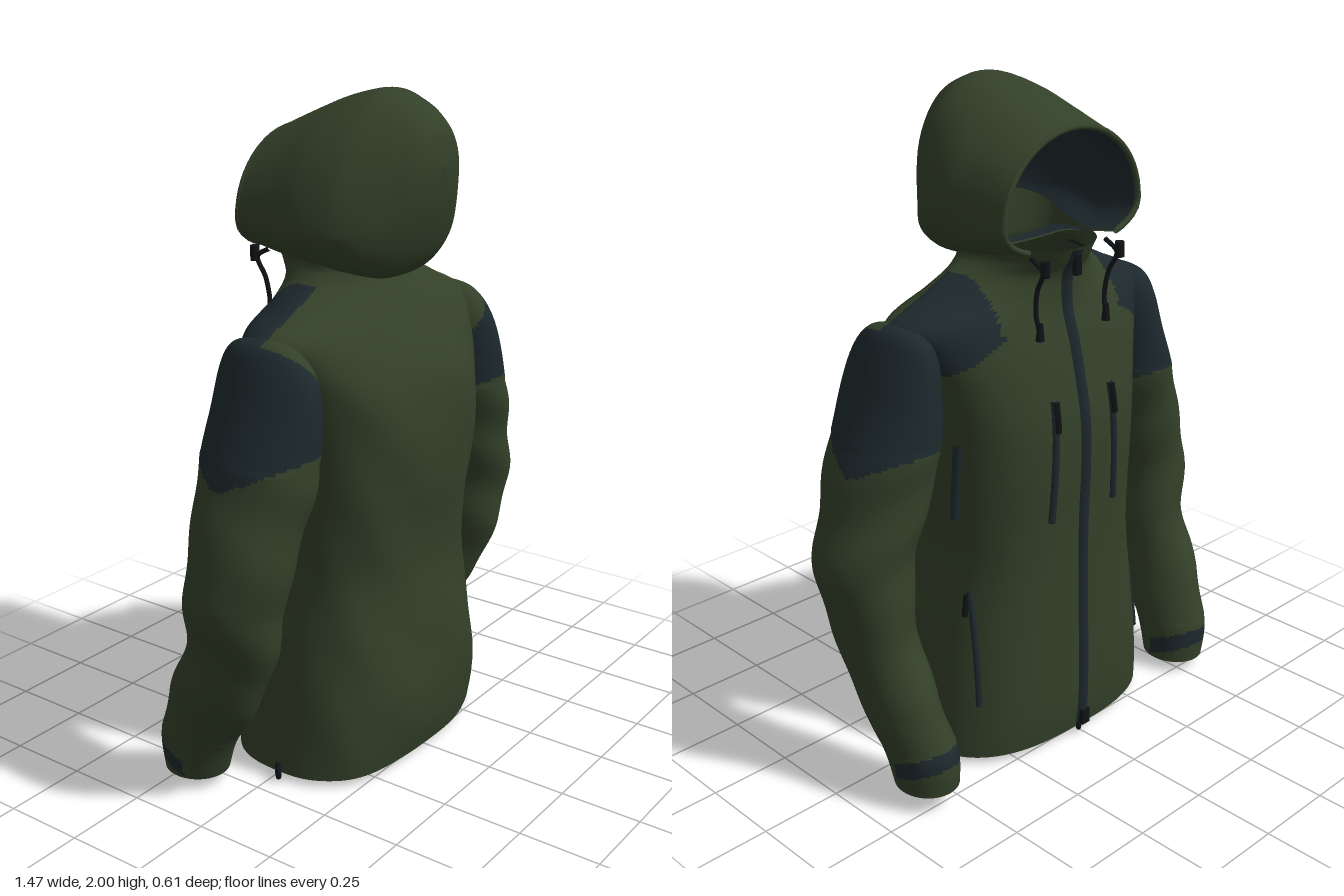
import * as THREE from 'three';

const mat = (name, color, side = THREE.FrontSide) => {
  const m = new THREE.MeshStandardMaterial({ color, side });
  m.name = name;
  return m;
};

// Smooth interpolation through rows of numbers, t in 0..1
function track(rows) {
  const n = rows.length - 1;
  return t => {
    const q = Math.min(Math.max(t, 0), 1) * n, i = Math.min(Math.floor(q), n - 1), f = q - i;
    const [a, b, c, d] = [-1, 0, 1, 2].map(k => rows[Math.min(Math.max(i + k, 0), n)]);
    return b.map((_, k) => b[k] + 0.5 * f * (c[k] - a[k] + f * (2 * a[k] - 5 * b[k] + 4 * c[k] - d[k]
      + f * (3 * (b[k] - c[k]) + d[k] - a[k]))));
  };
}

// Grid surface from f(u, v); pick(point) gives the material index of each face
function sheet(f, nu, nv, closed, pick = () => 0, count = 1) {
  const pos = [], lists = Array.from({ length: count }, () => []);
  const cols = closed ? nu : nu + 1;
  for (let j = 0; j <= nv; j++)
    for (let i = 0; i < cols; i++) pos.push(...f(i / nu, j / nv));
  for (let j = 0; j < nv; j++)
    for (let i = 0; i < nu; i++) {
      const k = (i + 1) % cols, a = j * cols + i, b = j * cols + k, c = b + cols, d = a + cols;
      lists[pick(...f((i + 0.5) / nu, (j + 0.5) / nv))].push(a, b, c, a, c, d);
    }
  const g = new THREE.BufferGeometry();
  g.setAttribute('position', new THREE.Float32BufferAttribute(pos, 3));
  g.setIndex(lists.flat());
  let start = 0;
  lists.forEach((l, i) => { g.addGroup(start, l.length, i); start += l.length; });
  g.computeVertexNormals();
  return g;
}

// Body sections: y, half width, front z, back z, squareness
const bodyAt = track([
  [0.022, 0.42, -0.275, 0.28, 2.7], [0.12, 0.41, -0.285, 0.30, 2.7], [0.25, 0.395, -0.285, 0.31, 2.7],
  [0.42, 0.37, -0.28, 0.295, 2.7], [0.6, 0.345, -0.275, 0.275, 2.7], [0.75, 0.345, -0.275, 0.285, 2.7],
  [0.9, 0.35, -0.28, 0.305, 2.7], [1.05, 0.36, -0.275, 0.312, 2.7], [1.18, 0.39, -0.25, 0.295, 2.6],
  [1.28, 0.435, -0.225, 0.255, 2.3], [1.36, 0.47, -0.2, 0.21, 1.9], [1.42, 0.355, -0.195, 0.175, 1.65],
  [1.47, 0.255, -0.2, 0.14, 1.7], [1.51, 0.205, -0.22, 0.12, 2], [1.55, 0.195, -0.24, 0.11, 2.2],
]);
const MID = 0.02;
function body(u, v) {
  const [y, w, front, back, pow] = bodyAt(v), a = u * Math.PI * 2, c = Math.cos(a), s = -Math.sin(a);
  const r = k => Math.sign(k) * Math.abs(k) ** (2 / pow);
  // soft cloth folds on the back, collar raised at the nape
  const fold = 1 + (s > 0 && y < 1.4 ? 0.02 * s : 0) * Math.sin(a * 5 + y * 7) * Math.sin(y * 9 + a * 2);
  const nape = 0.08 * Math.max(0, s + 0.3) * Math.max(0, (y - 1.51) / 0.04);
  return [w * r(c) * fold, y + nape, MID + r(s) * (s > 0 ? back - MID : MID - front) * fold];
}
// Point on the front of the body at a given x and y
function onFront(x, y, out) {
  let lo = 0, hi = 1;
  for (let i = 0; i < 30; i++) { const m = (lo + hi) / 2; if (bodyAt(m)[0] < y) lo = m; else hi = m; }
  const [, w, front, , pow] = bodyAt(lo);
  const k = Math.max(0, 1 - (Math.abs(x) / w) ** pow) ** (1 / pow);
  return new THREE.Vector3(x, y, MID - (MID - front) * k - out);
}

// Sleeve sections: y, centre x, centre z, x radius, z radius
const sleeveAt = track([
  [1.372, 0.455, 0.02, 0.005, 0.01], [1.35, 0.452, 0.02, 0.05, 0.1], [1.28, 0.45, 0.03, 0.085, 0.155],
  [1.15, 0.468, 0.035, 0.115, 0.178], [1.0, 0.503, 0.03, 0.14, 0.182], [0.85, 0.548, 0.03, 0.143, 0.165],
  [0.68, 0.595, 0.02, 0.137, 0.152], [0.5, 0.588, -0.005, 0.11, 0.145], [0.32, 0.583, -0.085, 0.1, 0.15],
  [0.17, 0.57, -0.17, 0.098, 0.125], [0.06, 0.565, -0.195, 0.092, 0.1],
]);
function sleeve(u, v, side) {
  const [y, cx, cz, rx, rz] = sleeveAt(v), a = u * Math.PI * 2 * side;
  const k = y < 1.05 && y > 0.18 ? 1 : 0.2;
  const fold = 1 + 0.03 * k * Math.sin(y * 26 + 2 * Math.sin(a + side));
  // the right cuff hangs a little lower and closer
  const low = side < 0 ? Math.max(0, 0.4 - y) * 0.07 : 0;
  return [side * (cx - low + rx * Math.cos(a) * fold), y - low, cz + rz * Math.sin(a) * fold];
}

// Hood slices from opening to back: z, half width, top y, middle y, bottom y, bottom gap angle
const hoodAt = track([
  [-0.22, 0.275, 1.885, 1.64, 1.54, 0.62], [-0.1, 0.285, 1.94, 1.63, 1.515, 0.62], [0, 0.295, 1.98, 1.63, 1.5, 0.55],
  [0.1, 0.275, 2.0, 1.63, 1.485, 0], [0.17, 0.235, 1.98, 1.63, 1.485, 0], [0.23, 0.175, 1.95, 1.68, 1.55, 0],
  [0.28, 0.1, 1.9, 1.78, 1.68, 0], [0.303, 0, 1.8, 1.8, 1.8, 0],
]);
function hood(u, v, inset = 0) {
  const [z, w, top, mid, low, gap] = hoodAt(v);
  const open = Math.max(0, gap), a = -Math.PI / 2 + open + u * 2 * (Math.PI - open);
  const s = Math.sin(a), c = Math.cos(a), r = 1 - inset / Math.max(w, 0.05);
  const x = s > 0 ? c : Math.sign(c) * Math.abs(c) ** 0.8;
  const fold = 1 + 0.014 * Math.sin(z * 22 + a * 6) * Math.sin(Math.PI * v);
  // the crown leans slightly to the left
  return [w * r * x * fold + 0.03 * Math.max(0, s) * Math.sin(Math.PI * v),
    mid + (s > 0 ? top - mid : mid - low) * s * r, z * (1 - inset * 2)];
}

export function createModel() {
  const green = mat('olive cloth', 0x334029, THREE.DoubleSide);
  const navy = mat('slate cloth', 0x1d292d, THREE.DoubleSide);
  const black = mat('black trim', 0x101417);
  const root = new THREE.Group();
  root.name = 'jacket';
  const add = (name, geo, m) => {
    const mesh = new THREE.Mesh(geo, m);
    mesh.name = name;
    root.add(mesh);
    return mesh;
  };
  const cord = (name, pts, r, m) =>
    add(name, new THREE.TubeGeometry(new THREE.CatmullRomCurve3(pts), 40, r, 8), m);
  const frontLine = (x0, y0, x1, y1, out) => Array.from({ length: 9 }, (_, i) =>
    onFront(x0 + (x1 - x0) * i / 8, y0 + (y1 - y0) * i / 8, out));
  const V = (x, y, z) => new THREE.Vector3(x, y, z);

  // Body, collar and shoulder yoke
  const yoke = (x, y, z) => {
    const ax = Math.abs(x);
    return ax > 0.235 && z < 0.04 && y < 1.475 && y > 1.19 + (0.45 - ax) * 0.6 ? 1 : 0;
  };
  add('body', sheet(body, 140, 150, true, yoke, 2), [green, navy]);

  // Hood with lining and rolled edge
  add('hood', sheet(hood, 72, 44, false), green);
  add('hoodLining', sheet((u, v) => hood(1 - u, v * 0.93, 0.013), 60, 36, false), navy);
  cord('hoodEdge', Array.from({ length: 25 }, (_, i) => {
    const p = hood(i / 24, 0, 0.006);
    return V(p[0], p[1], p[2] + 0.003);
  }), 0.009, green);

  // Front zip and its pull
  const zip = sheet((u, v) => {
    const y = 0.03 + 1.515 * v, p = onFront(0, y, -0.004 + 0.016 * Math.sin(u * Math.PI));
    return [(0.5 - u) * 0.05, y, p.z];
  }, 6, 60, false);
  add('frontZip', zip, navy);
  add('zipPull', new THREE.BoxGeometry(0.022, 0.06, 0.015), black).position.copy(onFront(0, 1.5, 0.018));
  add('zipStop', new THREE.BoxGeometry(0.03, 0.05, 0.02), black).position.copy(onFront(0, 0.06, 0.01));

  for (const side of [1, -1]) {
    const tag = side > 0 ? 'left' : 'right';

    // Sleeve with shoulder panel and cuff tab, the right tab a little lower
    const panel = (x, y, z) => {
      const ax = Math.abs(x), tab = y - (-0.2 - z) * 0.4 + (side < 0 ? 0.05 : 0);
      if (y > 0.975 + 0.45 * Math.abs(z)) return z < 0.04 || ax > 0.36 + (y - 1.2) * 0.85 ? 1 : 0;
      return tab > 0.105 && tab < 0.16 && z < -0.17 ? 1 : 0;
    };
    add(tag + 'Sleeve', sheet((u, v) => sleeve(u, v, side), 72, 170, true, panel, 2), [green, navy]);

    // Dark cuff opening
    const cuff = add(tag + 'CuffLining', new THREE.CircleGeometry(1, 32), navy);
    const drop = side < 0 ? 0.023 : 0;
    cuff.rotation.x = Math.PI / 2;
    cuff.scale.set(0.09, 0.098, 1);
    cuff.position.set(side * (0.565 - drop), 0.066 - drop, -0.194);

    // Chest, hand and underarm zips
    cord(tag + 'ChestZip', frontLine(side * 0.115, 1.13, side * 0.13, 0.76, 0), 0.012, navy);
    cord(tag + 'ChestPull', frontLine(side * 0.115, 1.13, side * 0.118, 1.04, 0.01), 0.01, black);
    cord(tag + 'HandZip', frontLine(side * 0.328, 0.56, side * 0.345, 0.2, 0), 0.01, navy);
    cord(tag + 'HandPull', frontLine(side * 0.335, 0.55, side * 0.345, 0.48, 0.012), 0.009, black);
    cord(tag + 'VentZip', frontLine(side * 0.343, 1.02, side * 0.338, 0.78, 0), 0.014, navy);

    // Hood drawcord and toggle
    cord(tag + 'Drawcord', [V(side * 0.15, 1.54, -0.2), V(side * 0.15, 1.51, -0.245),
      V(side * 0.145, 1.45, -0.22), V(side * 0.14, 1.38, -0.21), V(side * 0.135, 1.33, -0.22)], 0.007, black);
    const toggle = add(tag + 'Toggle', new THREE.CylinderGeometry(0.014, 0.014, 0.045, 10), black);
    toggle.position.set(side * 0.15, 1.52, -0.255);
    const end = add(tag + 'CordEnd', new THREE.CylinderGeometry(0.008, 0.013, 0.05, 10), black);
    end.position.set(side * 0.135, 1.33, -0.222);
  }

  // Hem cord loops
  for (const [name, x, z] of [['leftHemLoop', 0.425, 0.02], ['rightHemLoop', -0.425, 0.02], ['frontHemLoop', 0, -0.268]]) {
    const loop = add(name, new THREE.TorusGeometry(0.018, 0.008, 8, 18), black);
    loop.position.set(x, 0.026, z);
    loop.rotation.y = Math.PI / 4;
  }
  return root;
}
